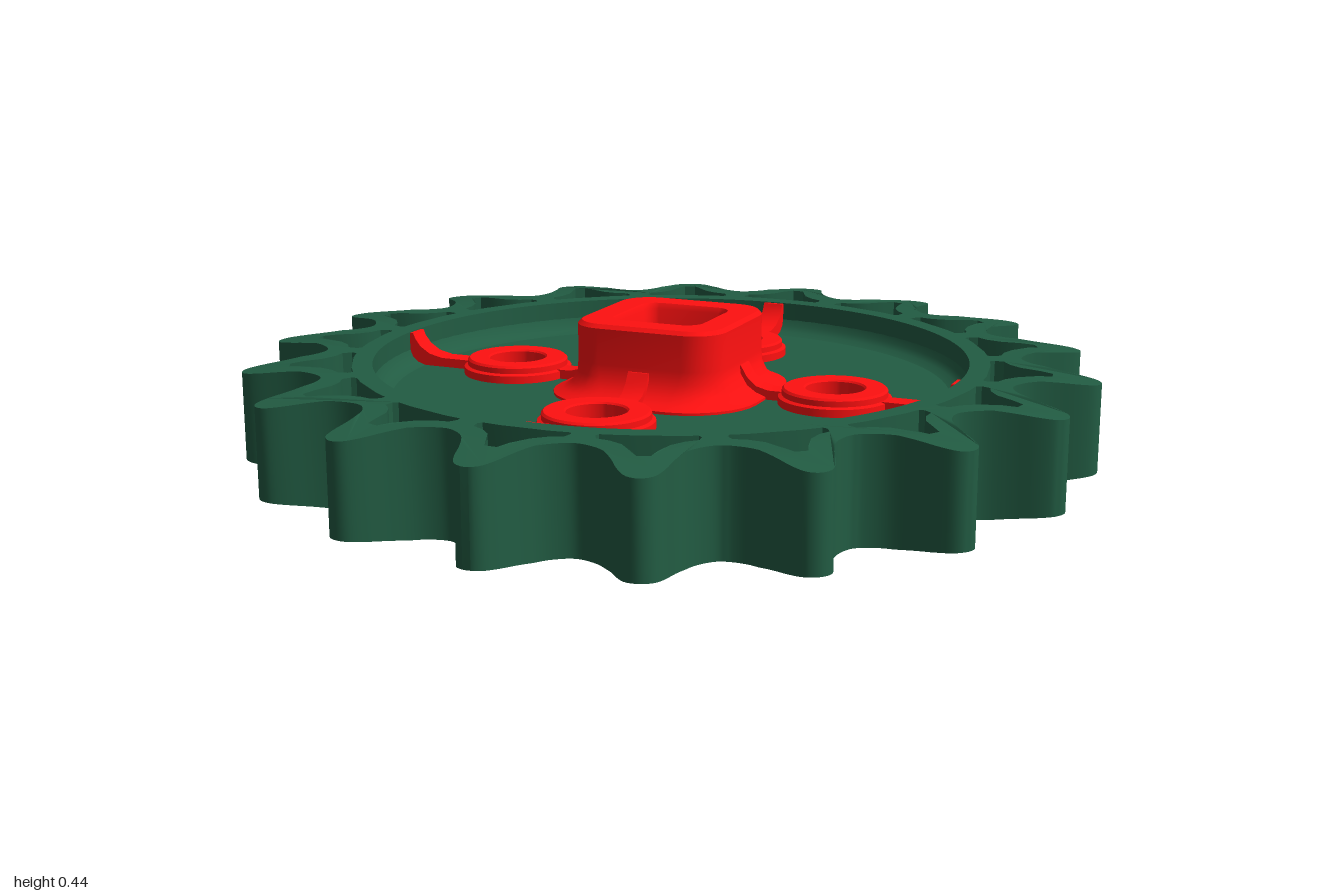
import * as THREE from 'three';
import { toCreasedNormals } from 'three/addons/utils/BufferGeometryUtils.js';

const TEETH = 18, MID = 0.218;
const green = new THREE.MeshStandardMaterial({ color: 0x225c43 });
const red = new THREE.MeshStandardMaterial({ color: 0xff1010 });

function mesh(name, geometry, material) {
  const m = new THREE.Mesh(toCreasedNormals(geometry, 0.6), material);
  m.name = name;
  return m;
}

// Mirrors a half outline of [sideways, outward] points and turns it about the centre
function mirrored(half, angle, scale = 1) {
  const left = half.filter(p => p[0] > 0).reverse().map(([x, y]) => [-x, y]);
  return [...left, ...half].map(([x, y]) =>
    new THREE.Vector2(x * scale, y * scale).rotateAround(new THREE.Vector2(), -angle));
}

// Counter-clockwise outline of all teeth
function toothOutline(scale) {
  const half = [[0, 1], [0.026, 0.99], [0.044, 0.96], [0.064, 0.9], [0.088, 0.852], [0.117, 0.824]];
  const valley = [0.1431, 0.8115];
  const points = [];
  for (let i = 0; i < TEETH; i++) {
    const a = i * Math.PI * 2 / TEETH;
    points.push(...mirrored(half, a, scale));
    points.push(new THREE.Vector2(...valley).multiplyScalar(scale).rotateAround(new THREE.Vector2(), -a));
  }
  const curve = new THREE.CatmullRomCurve3(points.reverse().map(p => new THREE.Vector3(p.x, p.y, 0)), true);
  return new THREE.Shape(curve.getPoints(points.length * 3).slice(0, -1).map(p => new THREE.Vector2(p.x, p.y)));
}

function circleHole(x, y, r) {
  const p = new THREE.Path();
  p.absarc(x, y, r, 0, Math.PI * 2, true);
  return p;
}

// Extrudes a plan shape upright, centred on the mid plane
function plate(shape, height, curveSegments) {
  const g = new THREE.ExtrudeGeometry(shape, { depth: height, bevelEnabled: false, curveSegments });
  return g.translate(0, 0, -height / 2).rotateX(-Math.PI / 2);
}

// Toothed rim with a hollow pocket in each tooth; tips taper thinner
function rimGeometry() {
  const shape = toothOutline(1);
  shape.holes.push(circleHole(0, 0, 0.7));
  const half = [[0.014, 0.89], [0.026, 0.86], [0.048, 0.815], [0.075, 0.788], [0.103, 0.774], [0.107, 0.752], [0.1, 0.741], [0.055, 0.746]];
  for (let i = 0; i < TEETH; i++)
    shape.holes.push(new THREE.Path(mirrored(half, i * Math.PI * 2 / TEETH)));
  const g = plate(shape, 0.24, 96);
  const pos = g.attributes.position;
  for (let i = 0; i < pos.count; i++) {
    const r = Math.hypot(pos.getX(i), pos.getZ(i));
    pos.setY(i, pos.getY(i) * (1 - Math.max(0, r - 0.87)));
  }
  return g;
}

// Middle web that closes the disc and the tooth pockets
function webGeometry() {
  const shape = toothOutline(0.97);
  shape.holes.push(circleHole(0, 0, 0.17));
  for (let i = 0; i < 4; i++) {
    const a = i * Math.PI / 2;
    shape.holes.push(circleHole(0.41 * Math.cos(a), 0.41 * Math.sin(a), 0.09));
  }
  return plate(shape, 0.08, 24);
}

// Square tube with rounded corners, flared where it meets the web
function hubGeometry() {
  const lower = [ // half width, corner radius, height
    [0.106, 0.035, -0.205], [0.113, 0.042, -0.218], [0.175, 0.072, -0.218], [0.184, 0.08, -0.209],
    [0.184, 0.08, -0.125], [0.188, 0.09, -0.096], [0.204, 0.115, -0.07], [0.226, 0.14, -0.055], [0.25, 0.165, -0.046], [0.25, 0.165, -0.035],
  ];
  const rings = [...lower, ...lower.map(([w, r, y]) => [w, r, -y]).reverse()];
  const steps = 8, n = 4 * (steps + 1), pos = [], index = [];
  for (const [w, r, y] of rings)
    for (let c = 0; c < 4; c++)
      for (let s = 0; s <= steps; s++) {
        const a = (c + s / steps) * Math.PI / 2, mid = (c + 0.5) * Math.PI / 2;
        pos.push(Math.sign(Math.cos(mid)) * (w - r) + r * Math.cos(a), y,
          Math.sign(Math.sin(mid)) * (w - r) + r * Math.sin(a));
      }
  for (let k = 0; k < rings.length; k++)
    for (let j = 0; j < n; j++) {
      const l = (k + 1) % rings.length, m = (j + 1) % n;
      const a = k * n + j, b = l * n + j, c = k * n + m, d = l * n + m;
      index.push(a, b, c, c, b, d);
    }
  const g = new THREE.BufferGeometry();
  g.setAttribute('position', new THREE.Float32BufferAttribute(pos, 3));
  g.setIndex(index);
  return g;
}

function lathe(profile, segments) {
  return new THREE.LatheGeometry(profile.map(p => new THREE.Vector2(...p)), segments);
}

// Stepped ring boss around a round bolt hole
function bossGeometry() {
  const outer = [[0.068, -0.076], [0.072, -0.08], [0.117, -0.08], [0.122, -0.075], [0.122, -0.062], [0.131, -0.058]];
  return lathe([...outer, ...outer.map(([r, y]) => [r, -y]).reverse(), outer[0]], 48);
}

// Coves that round the web into the rim, above and below
function coveGeometry() {
  const upper = [[0.702, 0.08], [0.694, 0.06], [0.68, 0.047], [0.655, 0.039]];
  return lathe([[0.702, -0.08], ...upper, ...upper.map(([r, y]) => [r, -y]).reverse()], 96);
}

// Radial rib from a side profile of [radius, half height] points
function ribGeometry(profile) {
  const low = profile.map(([x, h]) => new THREE.Vector2(x, -h));
  const high = profile.map(([x, h]) => new THREE.Vector2(x, h)).reverse();
  const g = new THREE.ExtrudeGeometry(new THREE.Shape([...low, ...high]), { depth: 0.052, bevelEnabled: false });
  return g.translate(0, 0, -0.026);
}

export function createModel() {
  const model = new THREE.Group();
  model.name = 'sprocket';
  const body = new THREE.Group();
  body.name = 'wheel';
  body.position.y = MID;
  model.add(body);

  body.add(mesh('toothedRim', rimGeometry(), green));
  body.add(mesh('web', webGeometry(), green));
  body.add(mesh('rimCove', coveGeometry(), green));
  body.add(mesh('hub', hubGeometry(), red));

  // Four arms, each with an inner rib, a boss and an outer rib
  for (let i = 0; i < 4; i++) {
    const arm = new THREE.Group();
    arm.name = 'arm';
    arm.rotation.y = i * Math.PI / 2;
    const boss = mesh('boltBoss', bossGeometry(), red);
    boss.position.x = 0.41;
    arm.add(boss);
    arm.add(mesh('innerRib', ribGeometry([[0.165, 0.12], [0.188, 0.115], [0.203, 0.09], [0.225, 0.07], [0.255, 0.062], [0.31, 0.062]]), red));
    arm.add(mesh('outerRib', ribGeometry([[0.51, 0.062], [0.61, 0.062], [0.645, 0.07], [0.67, 0.086], [0.685, 0.105], [0.69, 0.118], [0.703, 0.118]]), red));
    body.add(arm);
  }
  return model;
}
